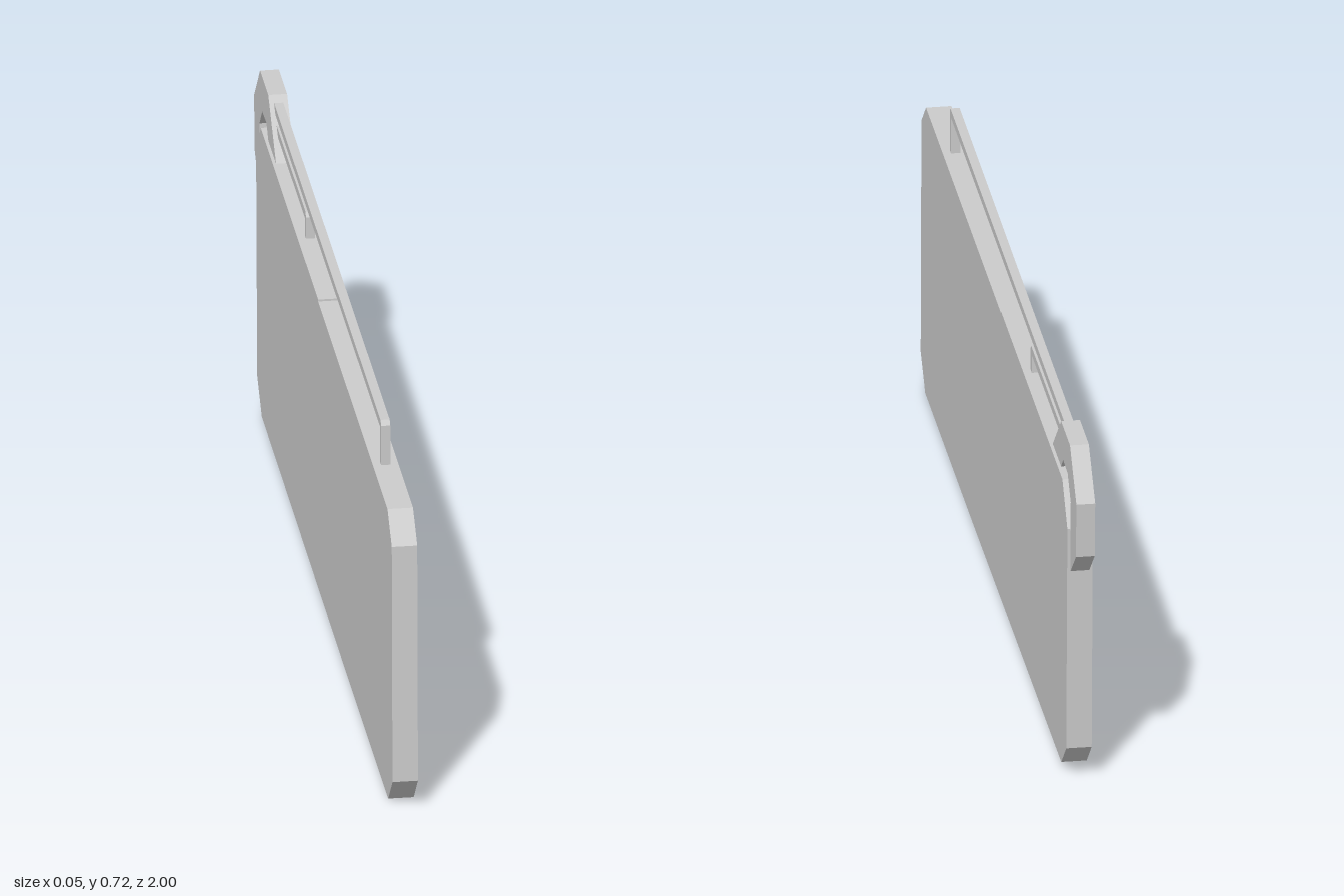
import * as THREE from 'three';

const material = new THREE.MeshStandardMaterial({ color: 0xcccccc, flatShading: true });

// Extrude a side outline of [z, y] points to a width centred on x = 0
function plate(name, outline, width) {
  const shape = new THREE.Shape(outline.map(([z, y]) => new THREE.Vector2(-z, y)));
  const geometry = new THREE.ExtrudeGeometry(shape, { depth: width, bevelEnabled: false });
  geometry.translate(0, 0, -width / 2);
  geometry.rotateY(Math.PI / 2);
  const mesh = new THREE.Mesh(geometry, material);
  mesh.name = name;
  return mesh;
}

// Square rod rising from the panel, with a chamfered bend, running back to the hook
function rod(name, front, top, back) {
  const t = 0.017, c = 0.009, foot = 0.6;
  return plate(name, [
    [front, foot], [front, top - c], [front - c, top], [back, top],
    [back, top - t], [front - t, top - t], [front - t, foot],
  ], 0.018);
}

export function createModel() {
  const model = new THREE.Group();
  model.name = 'hangingPanel';

  // Flat panel with cut corners
  model.add(plate('panel', [
    [0.99, 0.56], [0.93, 0.614], [-0.05, 0.616], [-0.05, 0.62], [-0.86, 0.622],
    [-0.925, 0.545], [-0.91, 0.07], [-0.845, 0.012], [-0.34, 0.008],
    [0.31, 0.002], [0.94, 0], [1.0, 0.062],
  ], 0.05));

  // Faceted loop around the upper rear corner, ends sunk into the panel
  model.add(plate('cornerHook', [
    [-0.66, 0.595], [-0.80, 0.719], [-0.916, 0.719], [-1.0, 0.63],
    [-0.993, 0.515], [-0.895, 0.43], [-0.895, 0.52], [-0.922, 0.545],
    [-0.925, 0.602], [-0.886, 0.645], [-0.827, 0.648], [-0.77, 0.595],
  ], 0.037));

  // Two rods along the top edge
  model.add(rod('longRod', 0.725, 0.707, -0.81));
  model.add(rod('shortRod', -0.335, 0.675, -0.78));
  return model;
}
